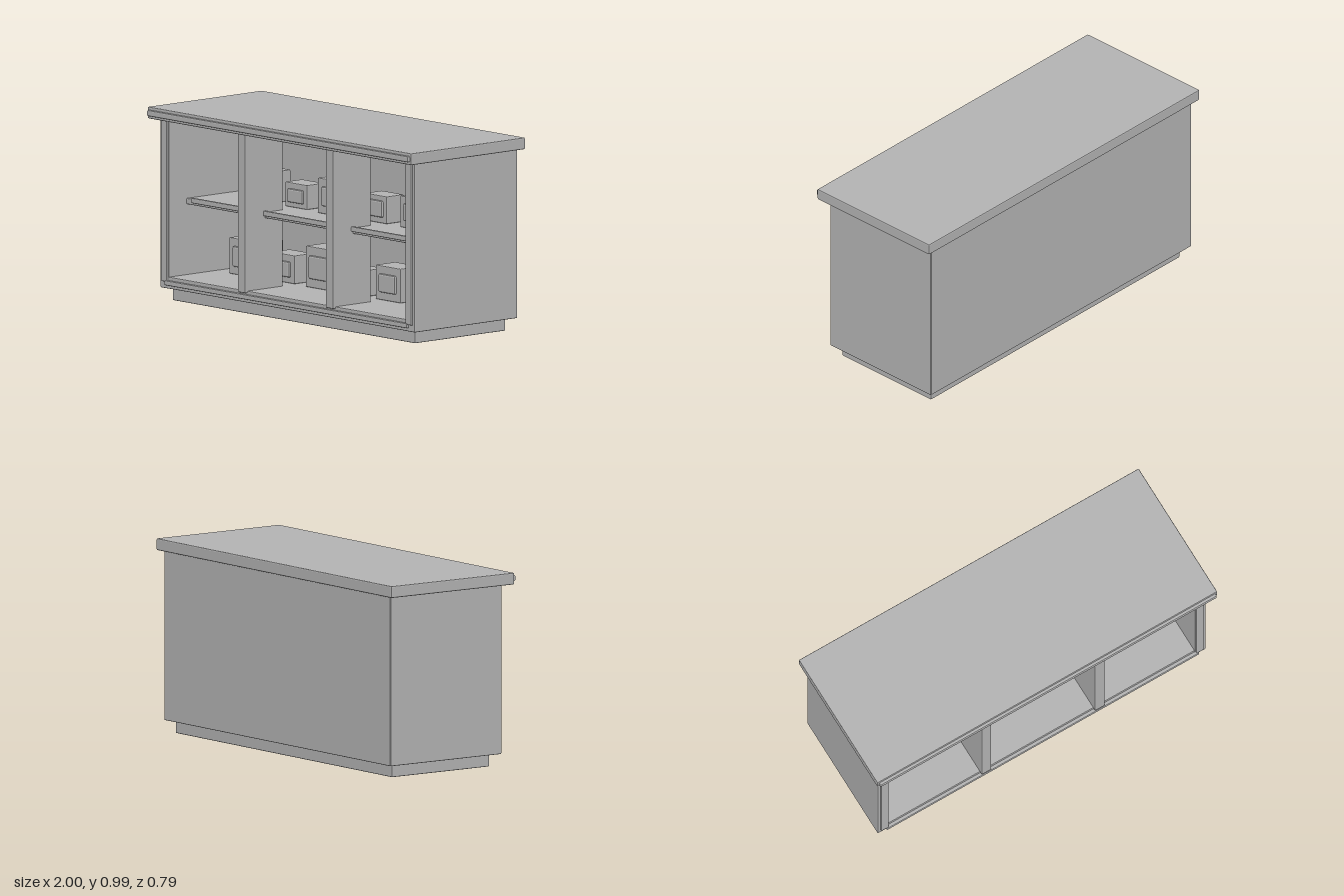
import * as THREE from 'three';
import { RoundedBoxGeometry } from 'three/addons/geometries/RoundedBoxGeometry.js';

export function createModel() {
  const model = new THREE.Group();
  model.name = 'shopCounter';
  const grey = new THREE.MeshStandardMaterial({ color: 0xb4b4b4 });
  grey.name = 'plainGrey';

  // Block with small faceted edges, given by its limits on each axis
  function block(name, [x0, x1], [y0, y1], [z0, z1], bevel = 0.005, parent = model) {
    const geometry = new RoundedBoxGeometry(x1 - x0, y1 - y0, z1 - z0, 1, bevel);
    geometry.computeVertexNormals();
    const mesh = new THREE.Mesh(geometry, grey);
    mesh.name = name;
    mesh.position.set((x0 + x1) / 2, (y0 + y1) / 2, (z0 + z1) / 2);
    parent.add(mesh);
    return mesh;
  }

  // Worktop with its front moulding
  block('worktop', [-1, 1], [0.93, 0.99], [-0.392, 0.38], 0.006);
  block('worktopMoulding', [-0.99, 0.99], [0.945, 0.975], [0.37, 0.395], 0.006);

  // Carcass
  block('plinth', [-0.92, 0.92], [0, 0.075], [-0.33, 0.282]);
  block('floorPanel', [-0.962, 0.962], [0.065, 0.125], [-0.368, 0.323]);
  block('backPanel', [-0.962, 0.962], [0.065, 0.935], [-0.372, -0.33]);
  block('bottomRail', [-0.92, 0.92], [0.083, 0.107], [0.315, 0.34]);
  for (const [side, s] of [['left', 1], ['right', -1]]) {
    const span = (a, b) => (s > 0 ? [a, b] : [-b, -a]);
    block(side + 'SidePanel', span(0.9, 0.965), [0.065, 0.935], [-0.37, 0.325]);
    block(side + 'Stile', span(0.905, 0.95), [0.1, 0.935], [0.315, 0.335]);
    block(side + 'Divider', span(0.305, 0.362), [0.115, 0.935], [0.085, 0.34]);
  }

  // Shelf with its front lip
  block('shelf', [-0.905, 0.905], [0.485, 0.515], [-0.34, 0.205]);
  block('shelfLip', [-0.855, 0.855], [0.497, 0.523], [0.198, 0.217]);

  // Storage boxes: left edge, right edge, height, then label inset, bottom and top above the base
  const lower = [
    [-0.785, -0.555, 0.185, 0.036, 0.04, 0.145],
    [-0.485, -0.31, 0.145, 0.03, 0.03, 0.11],
    [-0.213, -0.005, 0.21, 0.032, 0.045, 0.165],
    [0.065, 0.23, 0.135, 0.025, 0.025, 0.1],
    [0.31, 0.5, 0.175, 0.032, 0.04, 0.135],
    [0.56, 0.77, 0.155, 0.035, 0.035, 0.12],
  ];
  const upper = [
    [-0.7, -0.49, 0.16, 0.035, 0.035, 0.125],
    [-0.385, -0.22, 0.125, 0.025, 0.025, 0.095],
    [-0.115, 0.11, 0.18, 0.035, 0.04, 0.14],
    [0.22, 0.385, 0.14, 0.025, 0.03, 0.115],
    [0.495, 0.685, 0.16, 0.033, 0.035, 0.125],
  ];
  for (const [row, base, boxes] of [['lower', 0.125, lower], ['upper', 0.515, upper]]) {
    boxes.forEach(([x0, x1, height, inset, low, high], i) => {
      const group = new THREE.Group();
      group.name = `${row}StorageBox${i + 1}`;
      model.add(group);
      const half = (x1 - x0) * 0.35;
      const front = -0.06 + half;
      block('boxBody', [x0, x1], [base, base + height], [-0.06 - half, front], 0.005, group);
      block('boxLabel', [x0 + inset, x1 - inset], [base + low, base + high],
        [front - 0.012, front + 0.012], 0.008, group);
    });
  }
  return model;
}
